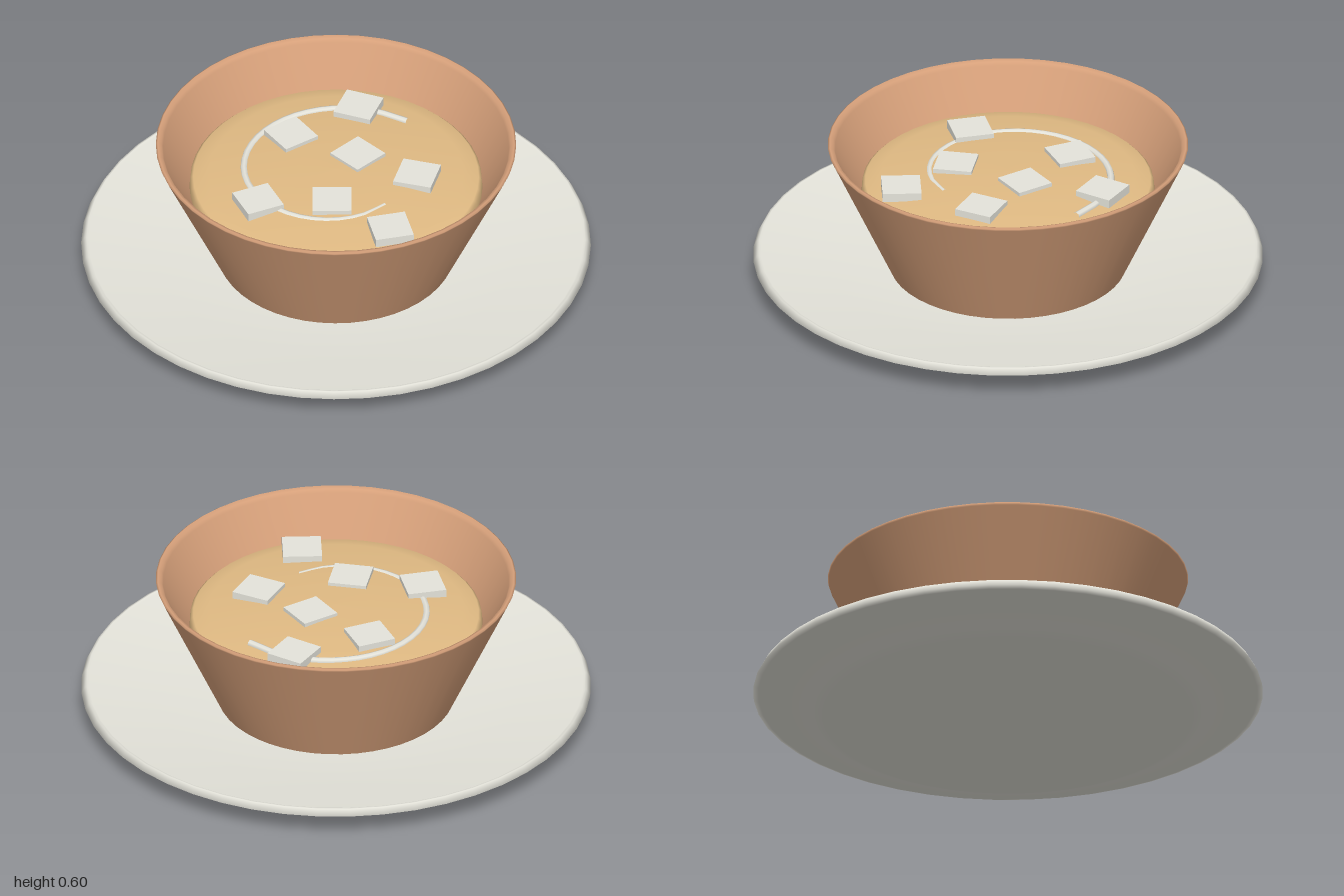
import * as THREE from 'three';

const mat = (name, color) => {
  const m = new THREE.MeshStandardMaterial({ color });
  m.name = name;
  return m;
};

export function createModel() {
  const group = new THREE.Group();
  const white = mat('porcelain white', 0xe4e3da);
  const clay = mat('clay brown', 0xd6a07a);
  const broth = mat('soup tan', 0xe0ba83);

  const add = (name, geometry, material) => {
    const mesh = new THREE.Mesh(geometry, material);
    mesh.name = name;
    group.add(mesh);
    return mesh;
  };
  // Profiles run from the bottom centre, around the outside, to the top centre
  const lathe = (name, profile, material) =>
    add(name, new THREE.LatheGeometry(profile.map(([r, y]) => new THREE.Vector2(r, y)), 48), material);

  // Shallow dished saucer
  lathe('saucer', [
    [0, 0], [0.72, 0], [0.76, 0.02], [0.98, 0.094], [1, 0.103],
    [0.986, 0.13], [0.978, 0.13], [0.97, 0.124], [0.72, 0.096], [0.45, 0.066], [0, 0.06],
  ], white);

  // Flared bowl with a thin rim
  lathe('bowl', [
    [0, 0.05], [0.455, 0.05], [0.459, 0.055], [0.704, 0.587], [0.707, 0.595],
    [0.70, 0.60], [0.685, 0.594], [0.678, 0.58], [0.57, 0.38], [0.45, 0.14], [0, 0.13],
  ], clay);

  // Slightly domed soup surface
  lathe('soup', [
    [0.575, 0.39], [0.572, 0.425], [0.56, 0.437], [0.50, 0.450], [0.30, 0.469], [0.15, 0.475], [0, 0.477],
  ], broth);

  // Cream swirl spiralling inwards until it sinks into the soup
  const swirl = [];
  for (let i = 0; i <= 12; i++) {
    const t = i / 12;
    const a = THREE.MathUtils.degToRad(5 + 262 * t);
    const r = 0.43 - 0.14 * t;
    swirl.push(new THREE.Vector3(r * Math.cos(a), 0.457, -r * Math.sin(a)));
  }
  add('creamSwirl', new THREE.TubeGeometry(new THREE.CatmullRomCurve3(swirl), 32, 0.015, 8), white);

  // Floating square pieces: x, z, turn in degrees
  const slab = new THREE.BoxGeometry(0.153, 0.035, 0.153);
  [
    [0.024, -0.276, -10], [0.34, -0.22, 25], [-0.365, -0.065, -20], [0.12, 0, 0],
    [-0.16, 0.14, -44], [0.195, 0.255, 30], [-0.118, 0.424, -31],
  ].forEach(([x, z, turn], i) => {
    const piece = add(`floatingPiece${i + 1}`, slab, white);
    piece.position.set(x, 0.471, z);
    piece.rotation.y = THREE.MathUtils.degToRad(turn);
  });

  return group;
}
